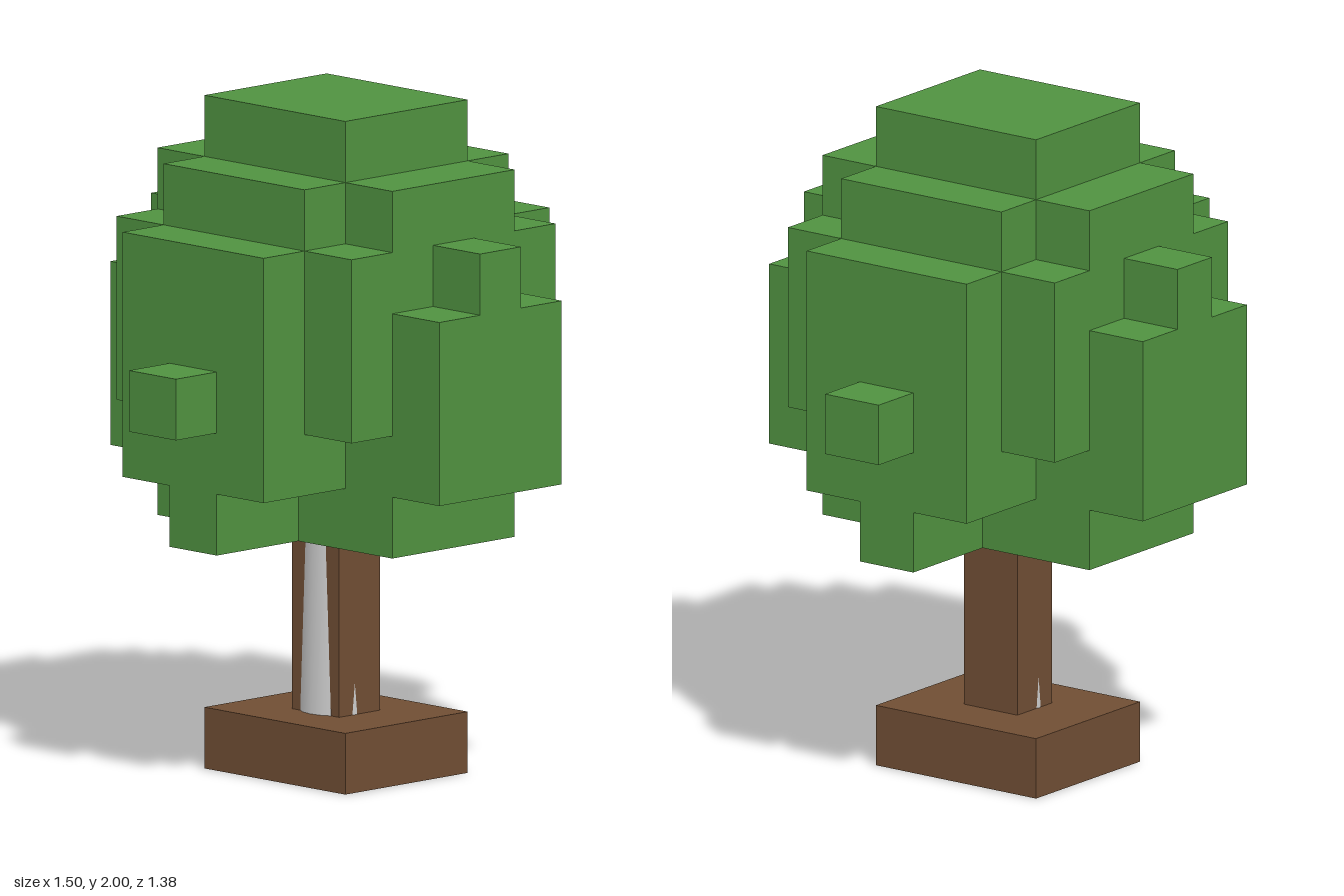
import * as THREE from 'three';

// size of one block cell along each axis
const CX = 1.5 / 9, CY = 2 / 11, CZ = 1.375 / 7;

export function createModel() {
  const tree = new THREE.Group();
  tree.name = 'blockTree';

  const leafGreen = new THREE.MeshStandardMaterial({ color: 0x509240 });
  leafGreen.name = 'leafGreen';
  const barkBrown = new THREE.MeshStandardMaterial({ color: 0x704e34 });
  barkBrown.name = 'barkBrown';
  const poleGrey = new THREE.MeshStandardMaterial({ color: 0xcccccc });
  poleGrey.name = 'poleGrey';

  // Box filling the cells x0..x1, y0..y1, z0..z1 (inclusive; x and z count from the centre)
  function block(name, material, [x0, x1], [y0, y1], [z0, z1]) {
    const geometry = new THREE.BoxGeometry((x1 - x0 + 1) * CX, (y1 - y0 + 1) * CY, (z1 - z0 + 1) * CZ);
    const mesh = new THREE.Mesh(geometry, material);
    mesh.position.set((x0 + x1) / 2 * CX, (y0 + y1 + 1) / 2 * CY, (z0 + z1) / 2 * CZ);
    mesh.name = name;
    tree.add(mesh);
  }
  // Cell range on the positive or negative side
  const side = (s, a, b) => (s > 0 ? [a, b] : [-b, -a]);

  // Base and trunk
  block('base', barkBrown, [-1, 1], [0, 0], [-1, 1]);
  block('trunk', barkBrown, [0, 0], [1, 3], [0, 0]);

  // Tapered pole inside the trunk, poking slightly out of it
  const pole = new THREE.Mesh(new THREE.CylinderGeometry(0.083, 0.105, 0.9, 16), poleGrey);
  pole.scale.x = 0.85;
  pole.position.set(-0.019, 0.449, 0);
  pole.name = 'innerPole';
  tree.add(pole);

  // Crown core and top
  block('crownCore', leafGreen, [-1, 1], [4, 9], [-2, 2]);
  block('crownTop', leafGreen, [-1, 1], [10, 10], [-1, 1]);

  for (const s of [1, -1]) {
    // Left and right foliage
    block('sideFoliage', leafGreen, side(s, 2, 3), [5, 8], [-1, 1]);
    block('sideLedge', leafGreen, side(s, 2, 2), [9, 9], [-1, 1]);
    block('sideUnderleaf', leafGreen, side(s, 2, 3), [4, 4], [0, 0]);
    block('sideTwig', leafGreen, side(s, 4, 4), [6, 6], [0, 0]);
    // Front and back foliage
    block('faceFoliage', leafGreen, [-1, 1], [5, 7], side(s, 3, 3));
    block('faceTuft', leafGreen, [0, 0], [8, 8], side(s, 3, 3));
    // Corner columns
    for (const t of [1, -1]) {
      block('cornerFoliage', leafGreen, side(s, 2, 2), [6, 8], side(t, 2, 2));
    }
  }
  return tree;
}
